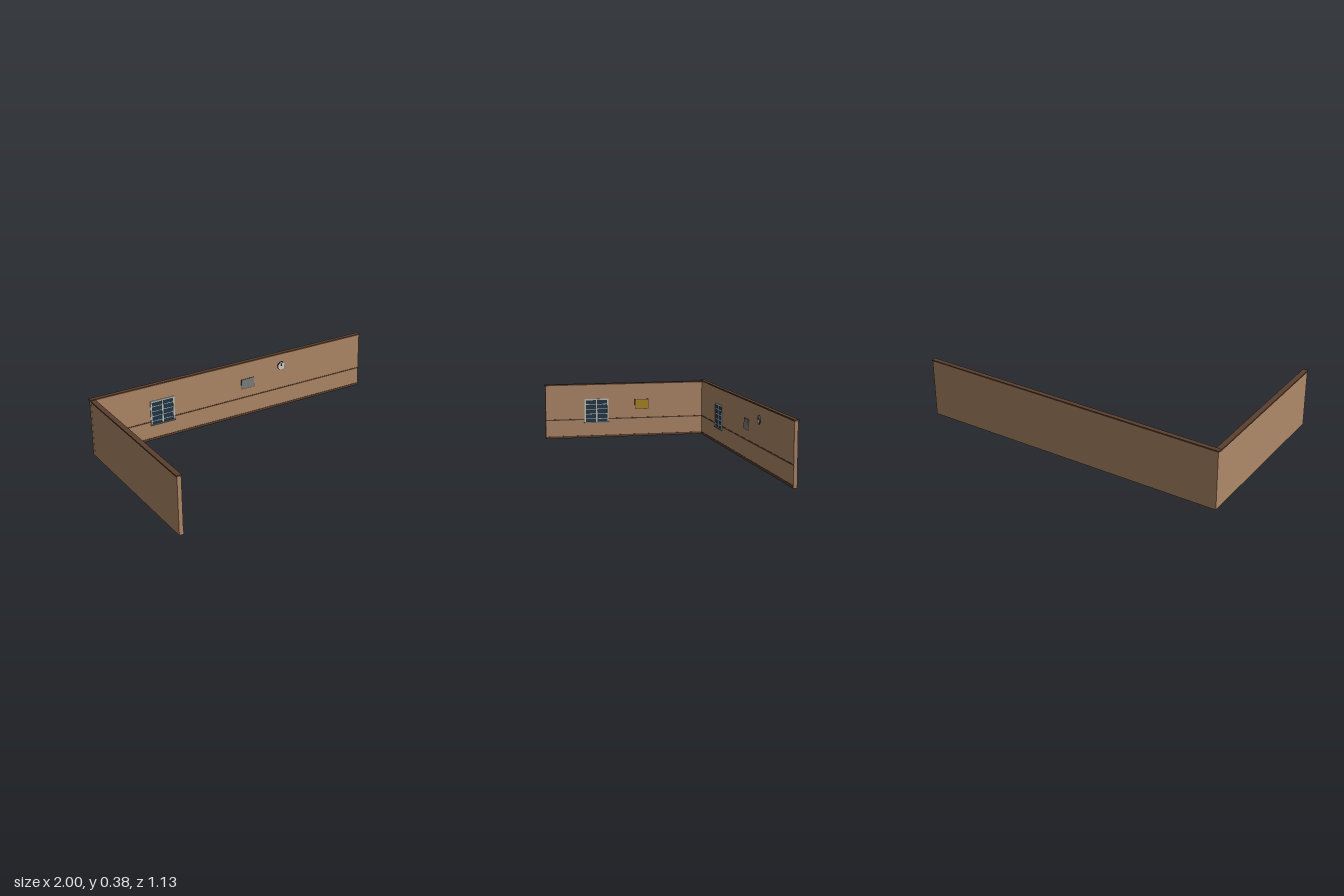
import * as THREE from 'three';

const mat = (name, color) => Object.assign(new THREE.MeshStandardMaterial({ color }), { name });
const M = {
  plaster: mat('plaster', 0xb08968),
  trim: mat('dark wood trim', 0x5a3f2e),
  glass: mat('window glass', 0x203646),
  frame: mat('window frame', 0xc2c4be),
  sill: mat('grey metal', 0x7b7d7c),
  gold: mat('gold panel', 0xab871f),
  face: mat('clock face', 0xcfcfcb),
  black: mat('clock black', 0x23282c),
};

// Box given by its minimum and maximum corners
function box(parent, name, material, [x0, y0, z0], [x1, y1, z1]) {
  const mesh = new THREE.Mesh(new THREE.BoxGeometry(x1 - x0, y1 - y0, z1 - z0), material);
  mesh.position.set((x0 + x1) / 2, (y0 + y1) / 2, (z0 + z1) / 2);
  mesh.name = name;
  parent.add(mesh);
  return mesh;
}

// Wall in local space: x along the wall, inner face at z = 0
function wall(name, x0, x1, thickness, top, start, overhang) {
  const g = new THREE.Group();
  g.name = name;
  box(g, 'wallBody', M.plaster, [x0, 0, -thickness], [x1, top, 0]);
  box(g, 'coping', M.trim, [x0 - overhang, top, -thickness - 0.004], [x1 + overhang, top + 0.009, 0.003]);
  box(g, 'skirting', M.trim, [start, 0, 0], [x1, 0.016, 0.002]);
  box(g, 'dadoRail', M.trim, [start, 0.125, 0], [x1, 0.133, 0.002]);
  return g;
}

function windowUnit(cx) {
  const g = new THREE.Group();
  g.name = 'window';
  g.position.x = cx;
  const w = 0.084, t = 0.009, y0 = 0.111, y1 = 0.27;
  box(g, 'glass', M.glass, [-w + t, y0, 0], [w - t, y1 - t, 0.003]);
  for (const s of [-1, 1]) {
    const c = s * (w - t / 2);
    box(g, 'frameSide', M.frame, [c - t / 2, y0, 0], [c + t / 2, y1, 0.005]);
  }
  box(g, 'frameTop', M.frame, [-w + t, y1 - t, 0], [w - t, y1, 0.005]);
  box(g, 'mullion', M.frame, [-0.0045, y0, 0.003], [0.0045, y1 - t, 0.005]);
  // Horizontal glazing bars
  for (let i = 0; i < 4; i++) {
    const y = 0.132 + i * 0.0335;
    box(g, 'glazingBar', M.frame, [-w + t, y - 0.002, 0.003], [w - t, y + 0.002, 0.0042]);
  }
  box(g, 'sill', M.sill, [-w - 0.003, 0.103, 0], [w + 0.003, y0, 0.009]);
  return g;
}

function panel(name, material, cx, cy, w, h, border) {
  const g = new THREE.Group();
  g.name = name;
  g.position.set(cx, cy, 0);
  box(g, 'panelBorder', M.trim, [-w / 2, -h / 2, 0], [w / 2, h / 2, 0.002]);
  const b = border;
  box(g, 'panelFace', material, [-w / 2 + b, -h / 2 + b, 0.002], [w / 2 - b, h / 2 - b, 0.003]);
  return g;
}

function clock(cx, cy) {
  const g = new THREE.Group();
  g.name = 'clock';
  g.position.set(cx, cy, 0);
  const disc = (name, material, r, z0, z1) => {
    const m = new THREE.Mesh(new THREE.CylinderGeometry(r, r, z1 - z0, 24), material);
    m.rotation.x = Math.PI / 2;
    m.position.z = (z0 + z1) / 2;
    m.name = name;
    g.add(m);
  };
  disc('clockCase', M.black, 0.028, 0, 0.005);
  disc('clockFace', M.face, 0.0265, 0.005, 0.006);
  // Hour marks
  for (let i = 0; i < 12; i++) {
    const a = (i * Math.PI) / 6;
    const mark = box(g, 'hourMark', M.black, [-0.001, -0.002, 0.006], [0.001, 0.002, 0.0065]);
    mark.position.x = Math.sin(a) * 0.0235;
    mark.position.y = Math.cos(a) * 0.0235;
    mark.rotation.z = -a;
  }
  box(g, 'minuteHand', M.black, [-0.002, -0.002, 0.006], [0.002, 0.017, 0.007]);
  return g;
}

export function createModel() {
  const model = new THREE.Group();
  model.name = 'cornerWalls';

  // Long back wall, facing +z
  const back = wall('backWall', -0.997, 0.997, 0.022, 0.372, -0.97, 0.003);
  back.position.z = -0.54;
  back.add(windowUnit(-0.52));
  back.add(panel('greyPanel', M.sill, 0.107, 0.226, 0.098, 0.07, 0.003));
  back.add(clock(0.365, 0.291));
  model.add(back);

  // Short side wall, facing +x (local x runs towards -z)
  const side = wall('sideWall', -0.565, 0.54, 0.026, 0.366, -0.565, 0.001);
  side.rotation.y = Math.PI / 2;
  side.position.x = -0.97;
  side.add(windowUnit(-0.2125));
  side.add(panel('goldPanel', M.gold, 0.107, 0.225, 0.098, 0.07, 0.004));
  model.add(side);

  return model;
}
